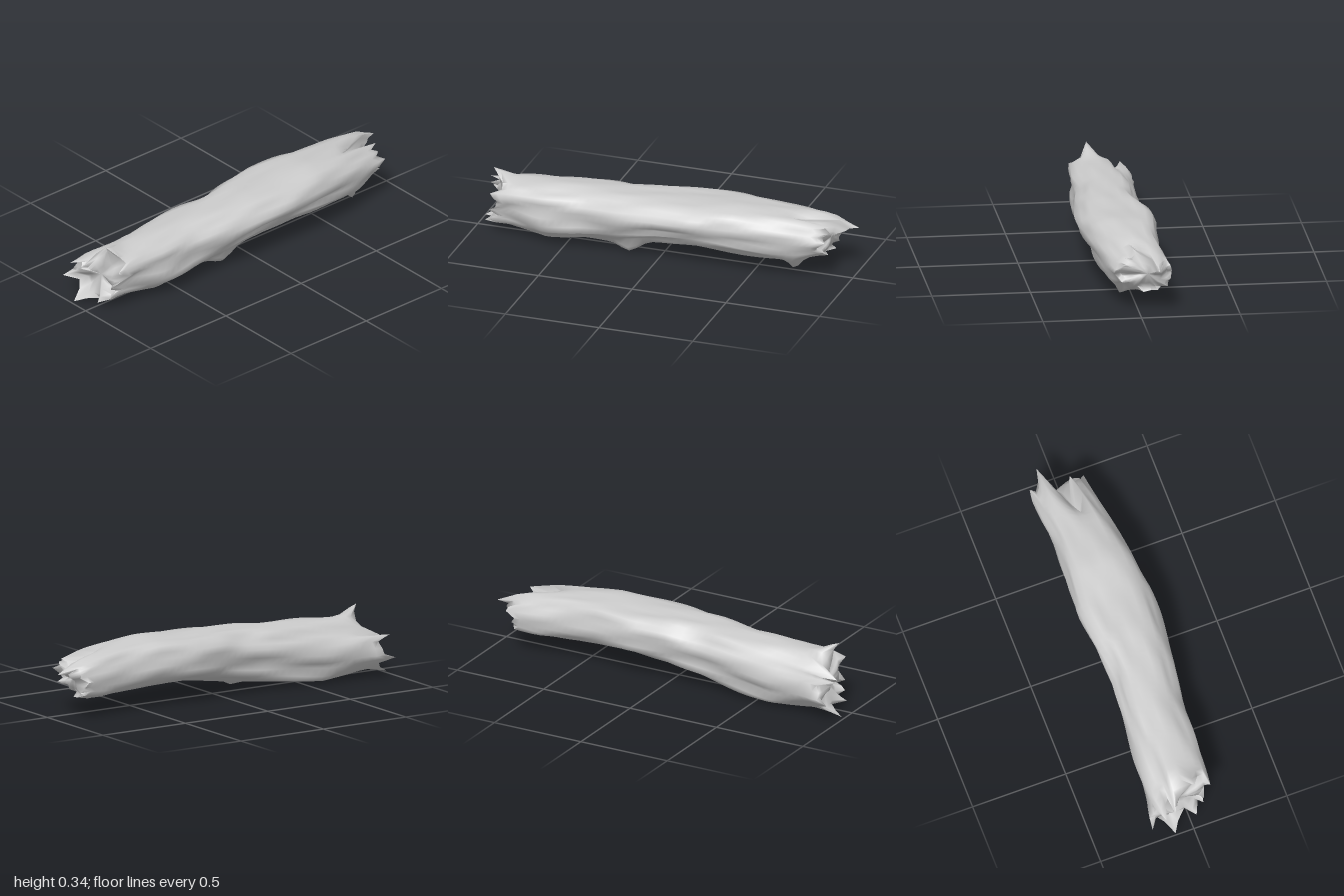
import * as THREE from 'three';
import { toCreasedNormals } from 'three/addons/utils/BufferGeometryUtils.js';

const SIDES = 28;

// Log outline along its length: z, x min, x max, y min, y max
const OUTLINE = [
  [-0.90, -0.17, 0.115, 0.105, 0.30],
  [-0.75, -0.16, 0.145, 0.085, 0.325],
  [-0.60, -0.145, 0.17, 0.085, 0.34],
  [-0.40, -0.155, 0.20, 0.10, 0.355],
  [-0.20, -0.175, 0.213, 0.105, 0.345],
  [0.00, -0.155, 0.20, 0.085, 0.347],
  [0.20, -0.14, 0.19, 0.05, 0.337],
  [0.40, -0.155, 0.165, 0.03, 0.325],
  [0.60, -0.17, 0.18, 0.01, 0.315],
  [0.80, -0.18, 0.17, 0.04, 0.305],
  [0.90, -0.185, 0.165, 0.04, 0.29],
];

// Where each strip of wood breaks off, counter-clockwise from +x
const FRONT_TIPS = [0.86, 0.82, 0.87, 0.89, 0.83, 0.84, 0.90, 0.83, 0.86, 0.96, 0.87, 0.90, 0.98, 0.89,
  0.91, 0.91, 0.97, 0.90, 0.93, 0.995, 0.94, 0.89, 0.95, 0.88, 0.91, 0.89, 0.86, 0.91];
const BACK_TIPS = [0.85, 0.89, 0.84, 0.87, 0.84, 0.89, 0.71, 0.80, 0.90, 1.00, 0.89, 0.86, 0.90, 0.91,
  0.86, 0.88, 0.84, 0.87, 0.84, 0.88, 0.83, 0.86, 0.79, 0.81, 0.79, 0.86, 0.88, 0.84];

// Local pulls on the surface: z, strip, reach in z, reach in strips, dx, dy
const PULLS = [
  [0.16, 22.5, 0.06, 0.9, 0.015, -0.05],  // knot stub below
  [0.60, 21, 0.10, 1.2, 0.0, -0.01],
  [-0.75, 23, 0.06, 1.0, 0.01, -0.045],   // torn flake below
  [0.90, 6, 0.07, 0.8, 0.0, 0.07],        // raised splinters at the front
  [0.90, 16, 0.06, 1.0, -0.04, 0.015],
  [0.90, 19, 0.05, 0.8, 0.0, -0.03],
  [0.90, 9, 0.06, 1.0, 0.0, -0.05],
  [0.90, 12, 0.06, 1.0, 0.03, 0.0],
  [0.92, 27, 0.26, 2.0, -0.07, 0.01],     // torn-out hollow on the front side
  [0.90, 24, 0.30, 1.5, -0.02, 0.025],
  [-0.90, 9, 0.06, 0.8, 0.01, -0.05],
  [-0.90, 25, 0.12, 1.5, -0.025, 0.02],
  [-0.15, 1.0, 0.28, 0.9, 0.016, 0.0],    // ridge along the side
  [-0.30, 10.5, 0.40, 1.5, -0.008, 0.015], // corners of the trunk
  [-0.45, 5, 0.25, 1.2, 0.004, 0.012],
  [0.60, 17.5, 0.25, 1.3, -0.01, -0.01],
  [0.10, 24.8, 0.55, 1.5, -0.025, 0.022],
  [0.85, 10.3, 0.22, 1.6, 0.025, -0.03],
  [0.12, 11, 0.10, 1.0, 0.02, -0.02],     // dent on top
];

// Long fissures in the wood: strip, drift with z, width, depth, z centre, z reach
const FISSURES = [
  [26.9, 0.5, 0.7, 0.2, -0.25, 0.55],
  [0.4, 6.0, 0.9, 0.15, 0.50, 0.25],
  [6.2, -2.0, 0.8, 0.15, -0.75, 0.50],
  [15.5, 1.5, 1.0, 0.15, 0.35, 0.45],
  [22.5, -1.0, 0.9, 0.10, 0.45, 0.40],
  [18.5, 1.0, 1.0, 0.14, -0.55, 0.40],
  [8.0, 0.5, 1.0, 0.08, -0.10, 0.40],
  [10.5, -2.0, 0.9, 0.10, 0.65, 0.40],
];

const bell = (d, w) => Math.exp(-(d * d) / (w * w));
const around = (a, b) => {
  const d = (((a - b) % SIDES) + SIDES) % SIDES;
  return Math.min(d, SIDES - d);
};

function outlineAt(z) {
  let i = 0;
  while (i < OUTLINE.length - 2 && z > OUTLINE[i + 1][0]) i++;
  const a = OUTLINE[i], b = OUTLINE[i + 1];
  const t = THREE.MathUtils.clamp((z - a[0]) / (b[0] - a[0]), 0, 1);
  return a.map((v, j) => v + (b[j] - v) * t);
}

// One point of the bark
function barkPoint(z, k) {
  const [, x0, x1, y0, y1] = outlineAt(z);
  const angle = (k / SIDES) * Math.PI * 2;
  const c = Math.cos(angle), s = Math.sin(angle);
  let r = 1 + 0.02 * Math.sin(3 * angle + 5 * z) + 0.025 * Math.sin(7 * angle - 6 * z + 1)
    + 0.025 * Math.sin(10 * angle + 13 * z);
  for (const [strip, drift, width, depth, zc, reach] of FISSURES) {
    r -= depth * bell(around(k, strip + drift * (z - zc)), width) * bell(z - zc, reach);
  }
  const box = (v) => Math.sign(v) * Math.abs(v) ** 0.82;
  const p = new THREE.Vector3(
    (x0 + x1) / 2 + ((x1 - x0) / 2) * box(c) * r,
    (y0 + y1) / 2 + ((y1 - y0) / 2) * box(s) * r,
    z,
  );
  for (const [pz, strip, dz, dk, dx, dy] of PULLS) {
    const w = bell(z - pz, dz) * bell(around(k, strip), dk);
    p.x += dx * w;
    p.y += dy * w;
  }
  // Stretch the ends out to the broken tips
  const tip = (z > 0 ? FRONT_TIPS : BACK_TIPS)[k];
  const start = 0.66, f = (Math.abs(z) - start) / (0.9 - start);
  if (f > 0) p.z = Math.sign(z) * (start + (tip - start) * f);
  return p;
}

// Rings of the shallow, uneven break, from the rim inwards: scale, depth, share of the rim's depth
function breakRings(z) {
  const sign = Math.sign(z);
  const [, x0, x1, y0, y1] = outlineAt(z);
  const cx = (x0 + x1) / 2 - 0.02, cy = (y0 + y1) / 2;
  return [[0.82, 0.85, 0.5], [0.55, 0.87, 0.2], [0.28, 0.87, 0.05], [0, 0.87, 0]].map(([scale, depth, share]) =>
    Array.from({ length: SIDES }, (_, k) => {
      const rim = barkPoint(z, k);
      const swell = 0.07 * bell(scale - 0.5, 0.3) * bell(around(k, 12), 3);
      const d = depth + (Math.abs(rim.z) - depth) * share + swell + 0.03 * scale * Math.sin(k * 0.9 + sign);
      return new THREE.Vector3(cx + (rim.x - cx) * scale, cy + (rim.y - cy) * scale, sign * d);
    }));
}

function logGeometry() {
  const rings = breakRings(-0.9).reverse();
  const count = 44;
  for (let i = 0; i <= count; i++) {
    const z = -0.9 + (1.8 * i) / count;
    rings.push(Array.from({ length: SIDES }, (_, k) => barkPoint(z, k)));
  }
  rings.push(...breakRings(0.9));

  const index = [];
  for (let i = 0; i < rings.length - 1; i++) {
    for (let k = 0; k < SIDES; k++) {
      const n = (k + 1) % SIDES;
      const a = i * SIDES + k, b = i * SIDES + n;
      const c = a + SIDES, d = b + SIDES;
      if (i === 0) index.push(a, d, c);
      else index.push(a, b, c);
      if (i > 0 && i < rings.length - 2) index.push(b, d, c);
    }
  }
  const geometry = new THREE.BufferGeometry().setFromPoints(rings.flat());
  geometry.setIndex(index);
  geometry.computeBoundingBox();
  geometry.translate(0, -geometry.boundingBox.min.y, 0);
  return toCreasedNormals(geometry, 1.9);
}

export function createModel() {
  const group = new THREE.Group();
  group.name = 'brokenLog';
  const wood = new THREE.MeshStandardMaterial({ color: 0xcccccc, side: THREE.DoubleSide });
  const log = new THREE.Mesh(logGeometry(), wood);
  log.name = 'splinteredTrunk';
  group.add(log);
  return group;
}
